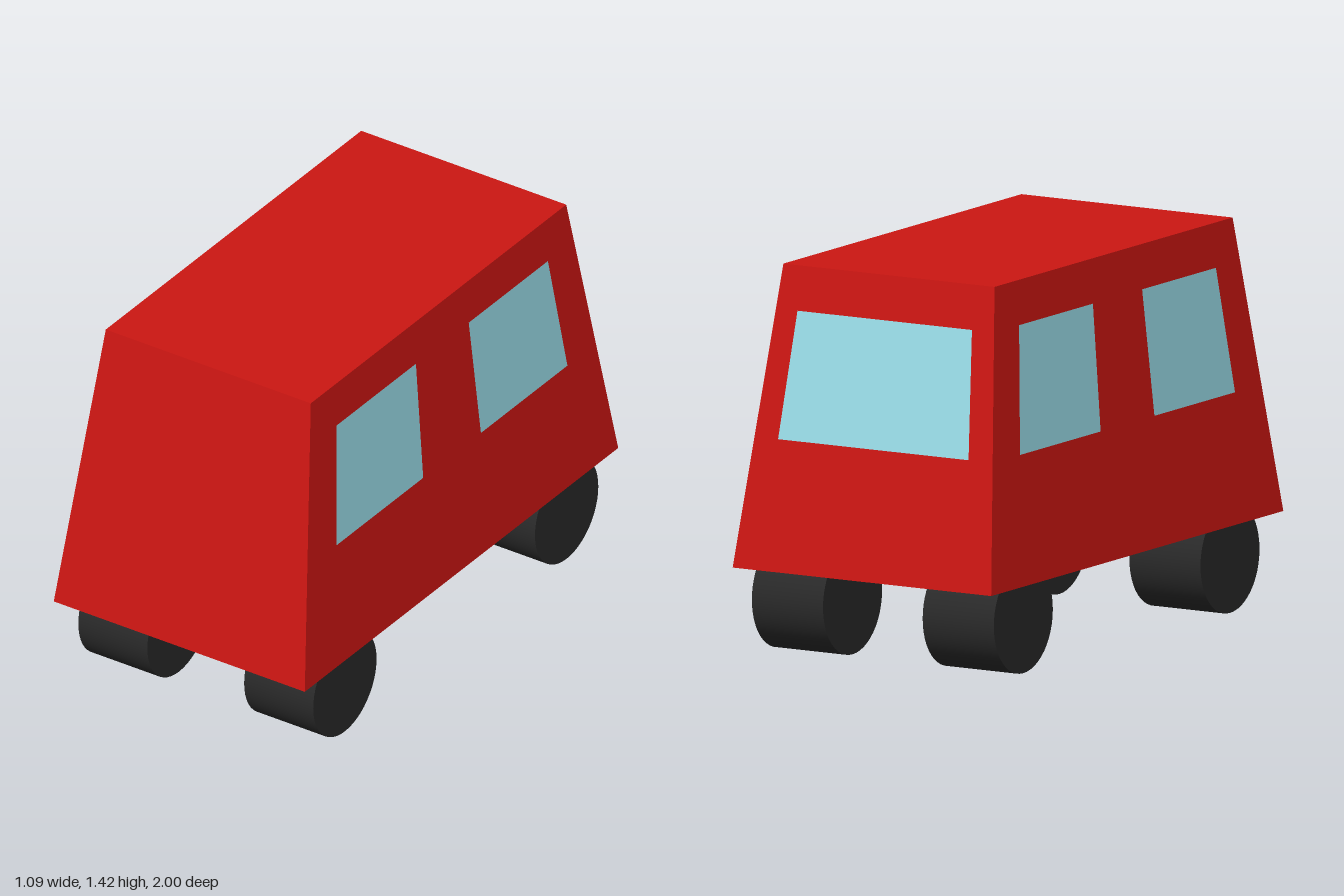
import * as THREE from 'three';

const RED = 0xcc1612, GLASS = 0x99dce8, RUBBER = 0x2a2a2a;
const BASE = 0.33, TOP = 1.42;

// Half width (x) and half length (z) of the tapered body at a height
const halfWidth = (y) => THREE.MathUtils.mapLinear(y, BASE, TOP, 0.545, 0.445);
const halfLength = (y) => THREE.MathUtils.mapLinear(y, BASE, TOP, 1, 0.815);

// Move every vertex of a geometry by a rule
function reshape(geometry, rule) {
  const p = geometry.attributes.position;
  const v = new THREE.Vector3();
  for (let i = 0; i < p.count; i++) {
    rule(v.fromBufferAttribute(p, i));
    p.setXYZ(i, v.x, v.y, v.z);
  }
  geometry.computeVertexNormals();
  return geometry;
}

export function createModel() {
  const model = new THREE.Group();
  model.name = 'van';
  const paint = new THREE.MeshStandardMaterial({ color: RED });
  const glass = new THREE.MeshStandardMaterial({ color: GLASS });
  const rubber = new THREE.MeshStandardMaterial({ color: RUBBER });

  function add(name, geometry, material) {
    const mesh = new THREE.Mesh(geometry, material);
    mesh.name = name;
    model.add(mesh);
    return mesh;
  }

  // Body: a box tapering towards the roof
  add('body', reshape(new THREE.BoxGeometry(2, 1, 2), (v) => {
    const y = v.y > 0 ? TOP : BASE;
    v.set(v.x * halfWidth(y), y, v.z * halfLength(y));
  }), paint);

  // Windows: panes lying just proud of the sloping walls
  const GAP = 0.002;
  const paneHeight = (v) => (v.y > 0 ? 1.26 : 0.8);

  for (const side of [1, -1]) {
    for (const end of [1, -1]) {
      const name = (side > 0 ? 'left' : 'right') + (end > 0 ? 'Front' : 'Rear') + 'Window';
      add(name, reshape(new THREE.PlaneGeometry(0.6, 1), (v) => {
        const y = paneHeight(v);
        const along = end * 0.5 - side * v.x;
        v.set(side * (halfWidth(y) + GAP), y, along * halfLength(y));
      }), glass);
    }
  }

  add('backWindow', reshape(new THREE.PlaneGeometry(1.6, 1), (v) => {
    const y = paneHeight(v);
    v.set(-v.x * halfWidth(y), y, -halfLength(y) - GAP);
  }), glass);

  // Wheels: wide cylinders tucked into the floor
  const wheel = new THREE.CylinderGeometry(0.202, 0.202, 0.3, 48).rotateZ(Math.PI / 2);
  for (const [side, x] of [['left', 0.367], ['right', -0.353]]) {
    for (const [end, z] of [['Front', 0.703], ['Rear', -0.712]]) {
      add(side + end + 'Wheel', wheel, rubber).position.set(x, 0.202, z);
    }
  }

  return model;
}
